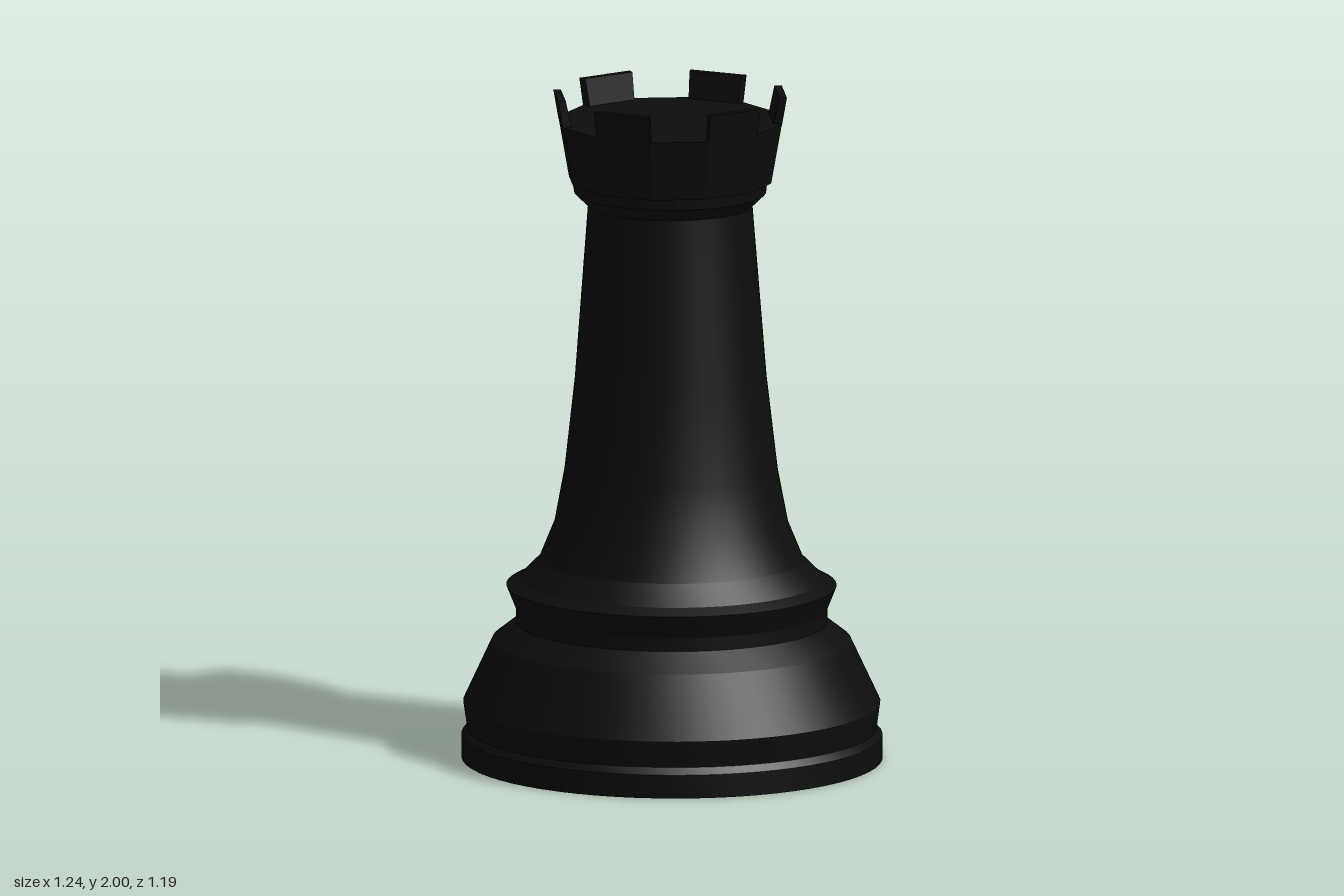
import * as THREE from 'three';
import { toCreasedNormals } from 'three/addons/utils/BufferGeometryUtils.js';

const SIDES = 12; // facets of the crown

// Move every vertex of a geometry by a rule
function warp(geometry, rule) {
  const p = geometry.attributes.position;
  const v = new THREE.Vector3();
  for (let i = 0; i < p.count; i++) {
    rule(v.fromBufferAttribute(p, i));
    p.setXYZ(i, v.x, v.y, v.z);
  }
  return geometry;
}

// Turned, slightly oval section from [radius, height] pairs
function turned(profile) {
  const geometry = new THREE.LatheGeometry(profile.map(([r, y]) => new THREE.Vector2(r, y)), 64);
  warp(geometry, (v) => {
    v.x -= 0.003 * v.y;
    v.z = v.z * 0.96 + 0.002 * v.y;
  });
  return toCreasedNormals(geometry, 0.35);
}

// One block of the battlement, bent from a box: x = angle, y = height, z = radius
function merlonGeometry() {
  const geometry = warp(new THREE.BoxGeometry(1, 1, 1), (v) => {
    const angle = (v.x + 0.5) * (2 * Math.PI / SIDES);
    const top = v.y > 0;
    const radius = v.z > 0 ? (top ? 0.35 : 0.335) : (top ? 0.327 : 0.308);
    v.set(Math.sin(angle) * radius, top ? 2 : 1.915, Math.cos(angle) * radius);
  });
  return toCreasedNormals(geometry, 0.1);
}

export function createModel() {
  const model = new THREE.Group();
  model.name = 'chessRook';
  const black = new THREE.MeshStandardMaterial({ color: 0x0d0d0d });
  black.name = 'black';

  const add = (name, geometry, parent = model) => {
    const mesh = new THREE.Mesh(geometry, black);
    mesh.name = name;
    parent.add(mesh);
    return mesh;
  };

  // Foot with its groove and sloping shoulder
  add('base', turned([
    [0, 0], [0.622, 0], [0.622, 0.07], [0.605, 0.09],
    [0.616, 0.17], [0.53, 0.355], [0.46, 0.41],
  ]));

  // Flared ring above the base
  add('collar', turned([[0.46, 0.41], [0.46, 0.45], [0.488, 0.52], [0.45, 0.54]]));

  // Tapering column
  add('shaft', turned([
    [0.45, 0.54], [0.39, 0.6], [0.345, 0.71], [0.315, 0.87], [0.283, 1.15], [0.243, 1.665],
  ]));

  // Ring under the crown
  add('neckRing', turned([[0.243, 1.665], [0.284, 1.705], [0.288, 1.745]]));

  // Faceted crown with six merlons on alternate facets
  const crown = new THREE.Group();
  crown.name = 'crown';
  crown.position.set(-0.005, 0, 0.005);
  model.add(crown);

  const cup = new THREE.CylinderGeometry(0.335, 0.303, 0.18, SIDES);
  cup.translate(0, 1.83, 0);
  add('crownCup', toCreasedNormals(cup, 0.1), crown);

  const block = merlonGeometry();
  for (let i = 0; i < SIDES / 2; i++) {
    const merlon = add('merlon' + (i + 1), block, crown);
    merlon.rotation.y = (2 * i - 1) * (2 * Math.PI / SIDES);
  }

  return model;
}
